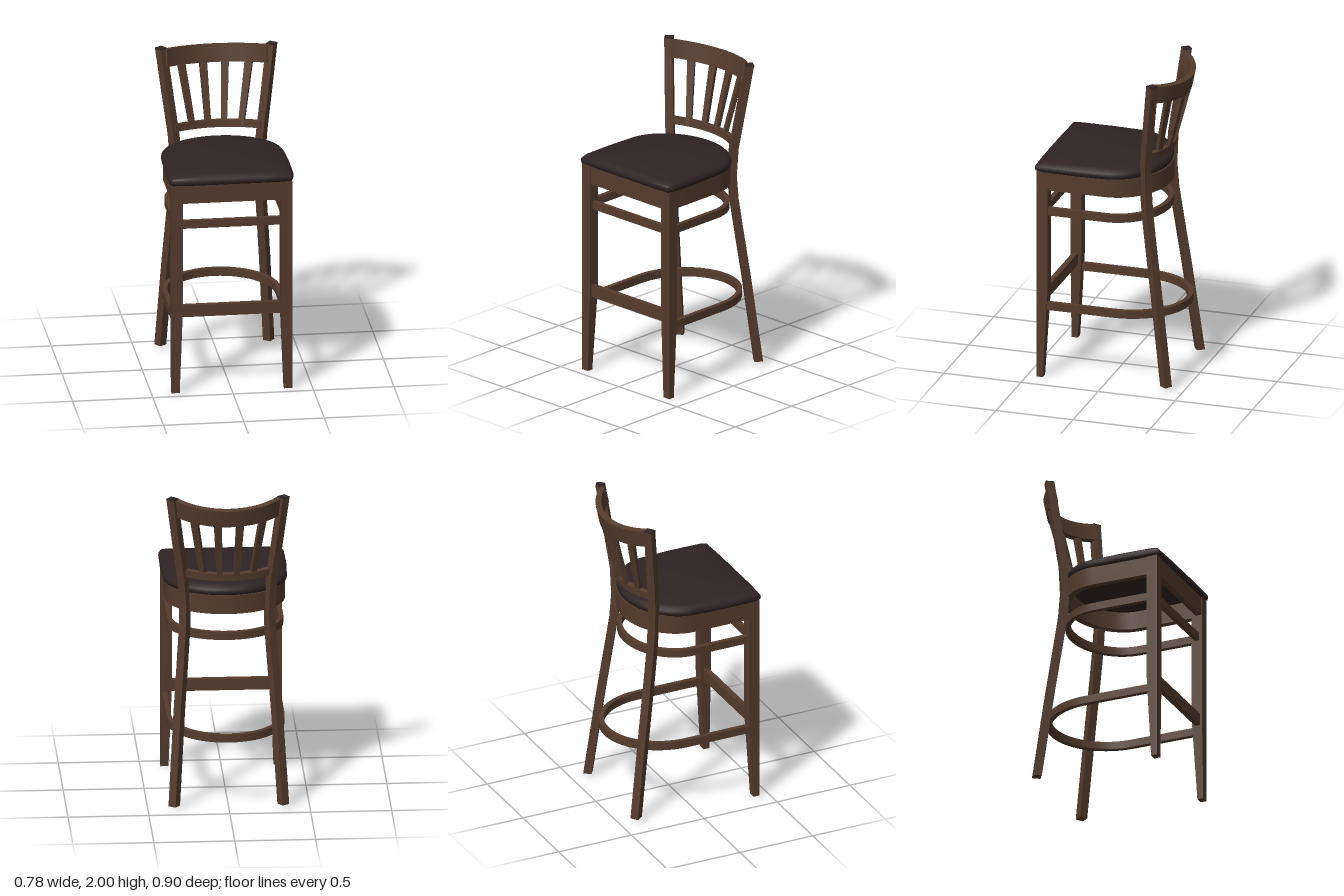
import * as THREE from 'three';
import { toCreasedNormals } from 'three/addons/utils/BufferGeometryUtils.js';

// Skin a stack of horizontal rings (each counterclockwise from above, listed bottom to top)
function loft(rings, crease = 0.6) {
  const n = rings[0].length, idx = [];
  const last = (rings.length - 1) * n;
  for (let i = 0; i < rings.length - 1; i++) {
    for (let j = 0; j < n; j++) {
      const a = i * n + j, b = i * n + (j + 1) % n;
      idx.push(a, b, b + n, a, b + n, a + n);
    }
  }
  for (let j = 1; j < n - 1; j++) {
    idx.push(0, j + 1, j, last, last + j, last + j + 1);
  }
  const geo = new THREE.BufferGeometry();
  geo.setAttribute('position', new THREE.Float32BufferAttribute(rings.flat(2), 3));
  geo.setIndex(idx);
  return toCreasedNormals(geo, crease);
}

// Rectangular ring of size w x d, turned about the vertical axis
function rect(cx, y, cz, w, d, turn = 0) {
  const c = Math.cos(turn), s = Math.sin(turn);
  return [[1, 1], [-1, 1], [-1, -1], [1, -1]].map(([u, v]) => {
    const px = u * w / 2, pz = -v * d / 2;
    return [cx + px * c + pz * s, y, cz - px * s + pz * c];
  });
}

// Upright band between an outer and an inner plan curve of [x, z] points
function band(outer, inner, height) {
  const pts = [...outer, ...inner.reverse()].map(([x, z]) => new THREE.Vector2(x, -z));
  const geo = new THREE.ExtrudeGeometry(new THREE.Shape(pts), { depth: height, bevelEnabled: false });
  return toCreasedNormals(geo.rotateX(-Math.PI / 2), 0.5);
}

// U-shaped plan curve: straight sides from the front, half ellipse round the back
function uCurve(halfW, front, bend, back, steps = 28) {
  const pts = [[halfW, front]];
  for (let i = 0; i <= steps; i++) {
    const a = Math.PI * i / steps;
    pts.push([halfW * Math.cos(a), bend - (bend - back) * Math.sin(a)]);
  }
  pts.push([-halfW, front]);
  return pts;
}

const uBand = (halfW, front, bend, back, t, h) =>
  band(uCurve(halfW, front, bend, back), uCurve(halfW - t, front, bend, back + t), h);

// Circular arc band bowing to the back, outer ends at z = 0
function arcBand(halfW, sag, t, h) {
  const R = (halfW * halfW + sag * sag) / (2 * sag);
  const half = Math.asin(halfW / R), zc = R * Math.cos(half);
  const arc = r => Array.from({ length: 25 }, (_, i) => {
    const a = half * (1 - i / 12);
    return [r * Math.sin(a), zc - r * Math.cos(a)];
  });
  return band(arc(R), arc(R - t), h).translate(0, -h, 0);
}

export function createModel() {
  const model = new THREE.Group();
  const wood = new THREE.MeshStandardMaterial({ color: 0x543b2c });
  wood.name = 'brown wood';
  const vinyl = new THREE.MeshStandardMaterial({ color: 0x2e2224 });
  vinyl.name = 'dark upholstery';

  const add = (name, geo, mat, x = 0, y = 0, z = 0) => {
    const mesh = new THREE.Mesh(geo, mat);
    mesh.name = name;
    mesh.position.set(x, y, z);
    model.add(mesh);
    return mesh;
  };

  // Padded seat: D-shaped outline shrunk layer by layer into a low dome
  const outline = [[0.375, 0.45], [0.388, 0.41], [0.391, 0.2],
    ...uCurve(0.383, 0.1, 0.01, -0.308).slice(1, -1),
    [-0.391, 0.2], [-0.388, 0.41], [-0.375, 0.45], [-0.2, 0.455], [0, 0.455], [0.2, 0.455]];
  const layers = [[1.357, 0.96], [1.364, 0.99], [1.38, 1], [1.397, 0.995], [1.41, 0.965],
    [1.42, 0.88], [1.431, 0.68], [1.44, 0.4], [1.444, 0.02]];
  add('seatCushion', loft(layers.map(([y, s]) =>
    outline.map(([x, z]) => [x * s, y, 0.08 + (z - 0.08) * s])), 0.9), vinyl);

  // Seat apron
  add('apronCurve', uBand(0.37, 0.37, 0, -0.31, 0.04, 0.12), wood, 0, 1.24);
  add('apronFront', new THREE.BoxGeometry(0.62, 0.12, 0.04), wood, 0, 1.30, 0.417);

  // Stretcher rings and front bars
  add('upperRing', uBand(0.36, 0.38, 0, -0.308, 0.03, 0.05), wood, 0, 1.07);
  add('upperFrontBar', new THREE.BoxGeometry(0.62, 0.05, 0.03), wood, 0, 1.095, 0.405);
  add('lowerRing', uBand(0.365, 0.38, -0.05, -0.44, 0.03, 0.05), wood, 0, 0.445);
  add('footrestBar', new THREE.BoxGeometry(0.62, 0.075, 0.035), wood, 0, 0.53, 0.41);

  // Rear post centre line as [y, x, z]
  const post = [[0.02, 0.337, -0.388], [0.6, 0.302, -0.314], [0.95, 0.277, -0.266], [1.12, 0.265, -0.244],
    [1.27, 0.261, -0.233], [1.45, 0.274, -0.236], [1.7, 0.307, -0.265], [2, 0.345, -0.3]];
  for (const s of [1, -1]) {
    const side = s > 0 ? 'left' : 'right';
    // Front leg tapers on its inner faces towards the floor
    add(side + 'FrontLeg', loft([
      rect(s * 0.35, 0, 0.42, 0.05, 0.04),
      rect(s * 0.34, 0.55, 0.405, 0.07, 0.07),
      rect(s * 0.34, 1.36, 0.405, 0.07, 0.07),
    ], 0.1), wood);
    // Rear leg and back post in one bent piece, with a dark top
    add(side + 'RearPost', loft(post.map(([y, x, z]) => rect(s * x, y, z, 0.052, 0.052, -s * 0.62))), wood);
    add(side + 'PostCap', loft([1.996, 2.001].map(y =>
      rect(s * 0.345, y, -0.3, 0.053, 0.053, -s * 0.62))), vinyl);
    // Back slats fan outwards and lean back
    [[0.05, -0.31, 0.07, -0.414], [0.152, -0.278, 0.212, -0.362]].forEach(([x0, z0, x1, z1], i) => {
      const turn = -s * Math.asin(x1 / 0.46);
      add(side + (i ? 'OuterSlat' : 'InnerSlat'), loft([
        rect(s * x0, 1.48, z0, 0.036, 0.024, turn),
        rect(s * x1, 1.88, z1, 0.048, 0.024, turn),
      ]), wood);
    });
  }

  // Curved back rails, tilted with the backrest
  add('topRail', arcBand(0.335, 0.148, 0.036, 0.112), wood, 0, 1.99, -0.305).rotation.x = -0.21;
  add('lowerRail', arcBand(0.28, 0.085, 0.034, 0.045), wood, 0, 1.515, -0.245).rotation.x = -0.1;

  return model;
}
